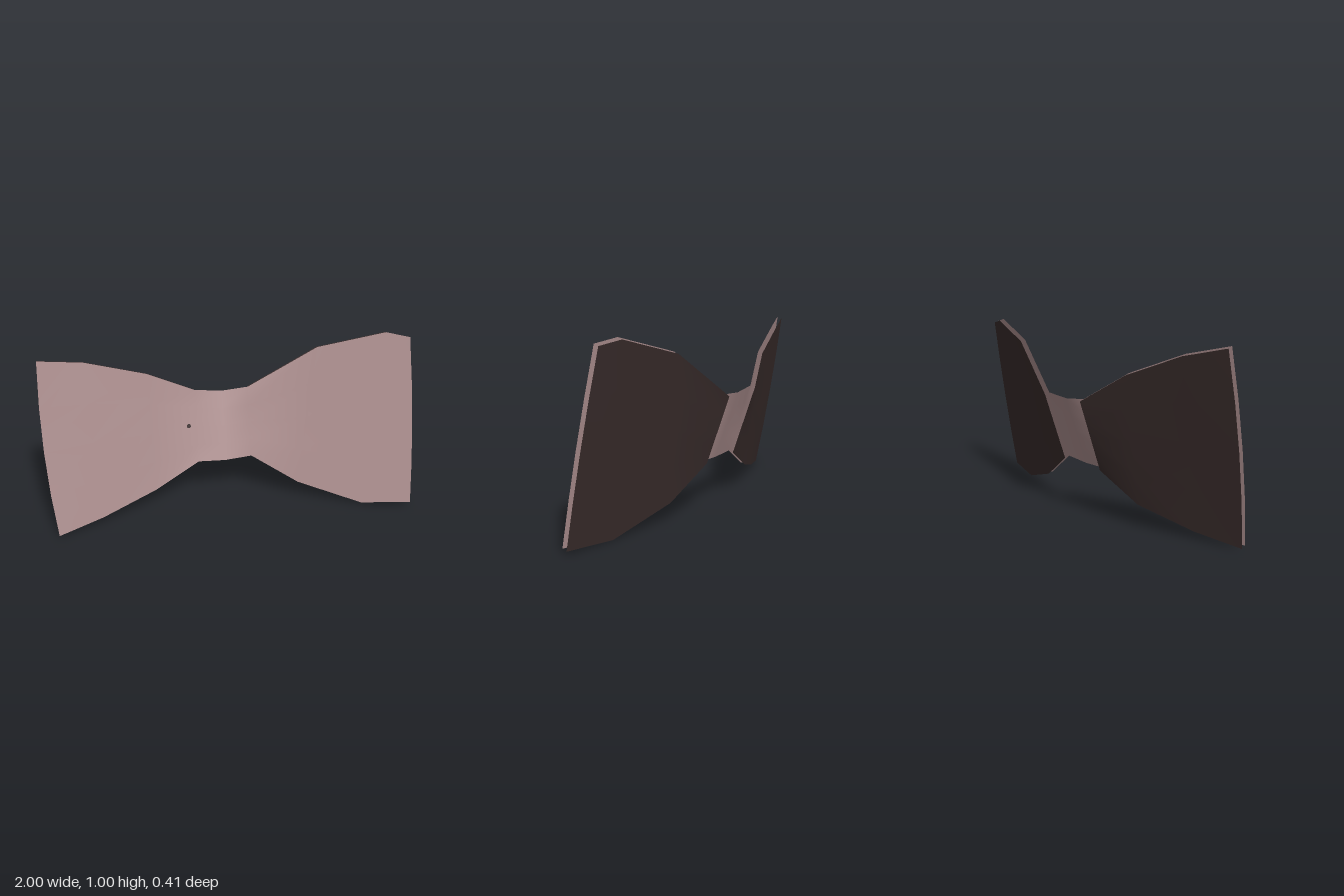
import * as THREE from 'three';

// Cross-sections from the right end to the left: bottom point, top point, sideways bulge at mid height
const SECTIONS = [
  [[-0.97, 0.017, 0.18], [-0.985, 0.98, 0.018], -0.022],
  [[-0.73, 0.055, 0.1], [-0.76, 0.93, -0.04], 0],
  [[-0.43, 0.137, 0.0], [-0.44, 0.812, -0.1], 0],
  [[-0.18, 0.272, -0.045], [-0.18, 0.656, -0.178], 0],
  [[-0.03, 0.268, -0.042], [-0.03, 0.64, -0.176], 0],
  [[0.12, 0.28, -0.046], [0.12, 0.652, -0.178], 0],
  [[0.38, 0.12, 0.025], [0.48, 0.905, -0.09], 0],
  [[0.73, 0.014, 0.137], [0.83, 1.0, -0.012], 0],
  [[0.998, 0.033, 0.204], [0.952, 0.98, 0.027], 0.012],
];
const ROWS = 4;

// Lofted sheet through the sections, moved by an offset
function loft(sections, offset) {
  const positions = [], indices = [];
  for (const [bottom, top, bulge] of sections) {
    const a = new THREE.Vector3(...bottom), b = new THREE.Vector3(...top);
    for (let r = 0; r <= ROWS; r++) {
      const t = r / ROWS;
      const p = a.clone().lerp(b, t).add(offset);
      p.x += bulge * 4 * t * (1 - t);
      positions.push(p.x, p.y, p.z);
    }
  }
  for (let c = 0; c < sections.length - 1; c++) {
    for (let r = 0; r < ROWS; r++) {
      const a = c * (ROWS + 1) + r, b = a + ROWS + 1;
      indices.push(a, b, b + 1, a, b + 1, a + 1);
    }
  }
  const geometry = new THREE.BufferGeometry();
  geometry.setAttribute('position', new THREE.Float32BufferAttribute(positions, 3));
  geometry.setIndex(indices);
  geometry.computeVertexNormals();
  return geometry;
}

export function createModel() {
  const model = new THREE.Group();
  model.name = 'bow';
  const fabric = new THREE.MeshStandardMaterial({ color: 0xb09292, side: THREE.DoubleSide });
  fabric.name = 'dusty pink';
  const backing = new THREE.MeshStandardMaterial({ color: 0x3a2d2c, side: THREE.DoubleSide });
  backing.name = 'dark brown';

  const add = (name, geometry, material) => {
    const mesh = new THREE.Mesh(geometry, material);
    mesh.name = name;
    model.add(mesh);
    return mesh;
  };

  // Front sheet runs across both wings and the narrow middle
  add('frontSheet', loft(SECTIONS, new THREE.Vector3()), fabric);

  // Dark backing behind each wing, leaving the middle open
  add('rightWingBacking', loft(SECTIONS.slice(0, 4), new THREE.Vector3(-0.003, -0.009, -0.026)), backing);
  add('leftWingBacking', loft(SECTIONS.slice(5), new THREE.Vector3(0.003, -0.009, -0.026)), backing);

  // Small dark spot on the front
  const spot = add('spot', new THREE.CircleGeometry(0.012, 12), backing);
  spot.position.set(-0.225, 0.475, -0.098);
  spot.rotation.set(-0.3, 0.15, 0);

  return model;
}
